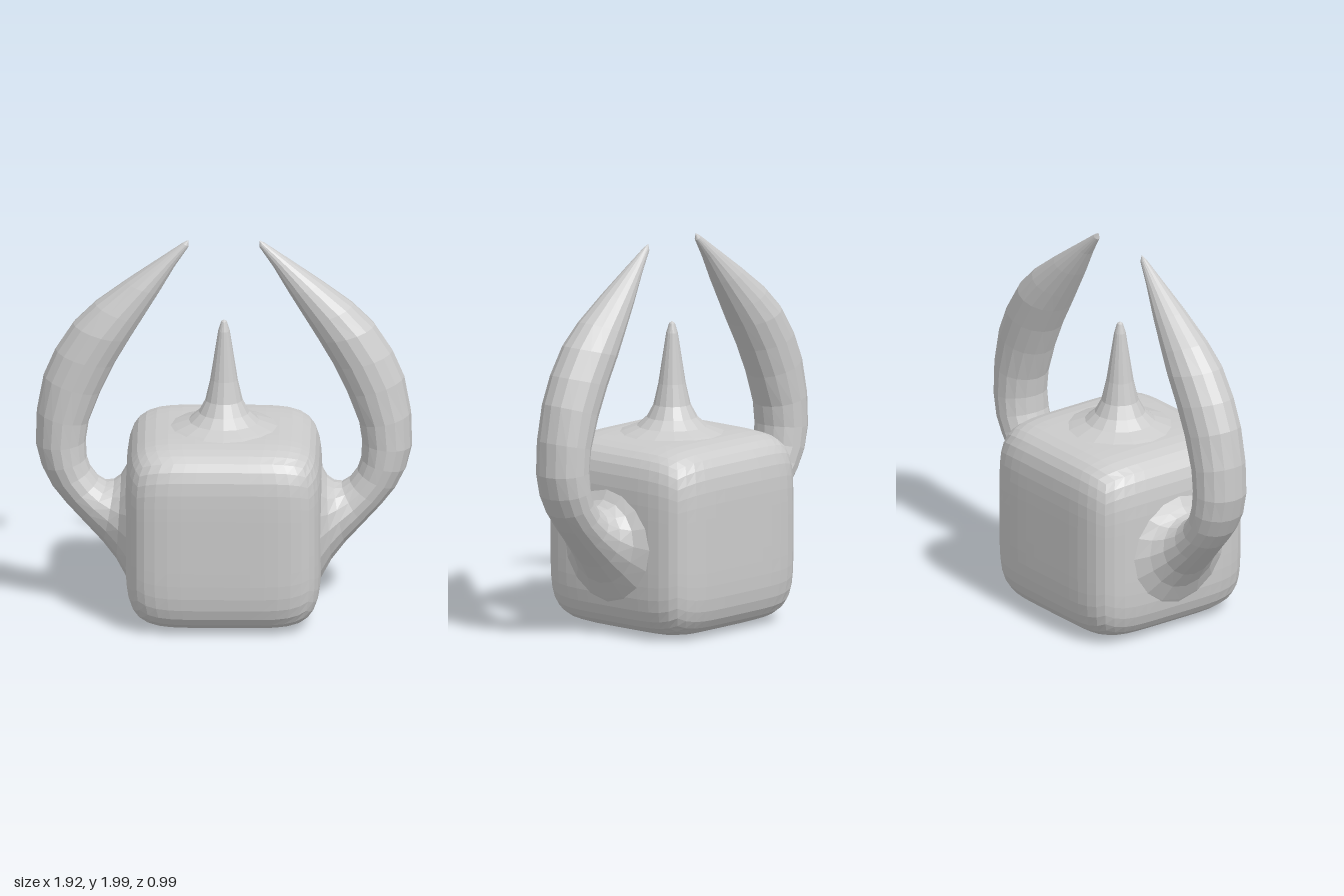
import * as THREE from 'three';

const material = new THREE.MeshStandardMaterial({ color: 0xcccccc, flatShading: true });

function part(name, geometry) {
  const mesh = new THREE.Mesh(geometry, material);
  mesh.name = name;
  return mesh;
}

// Pillowy cube: grid points of a box pulled onto a superellipsoid
function bodyGeometry() {
  const geo = new THREE.BoxGeometry(2, 2, 2, 14, 14, 14);
  const pos = geo.attributes.position;
  const power = 5.5;
  const p = new THREE.Vector3();
  for (let i = 0; i < pos.count; i++) {
    p.fromBufferAttribute(pos, i);
    const sum = p.toArray().reduce((s, v) => s + Math.abs(v) ** power, 0);
    p.multiplyScalar(sum ** (-1 / power));
    pos.setXYZ(i, p.x * 0.5, 0.505 + p.y * 0.495, p.z * 0.495);
  }
  geo.computeVertexNormals();
  return geo;
}

// Horn cross-sections: inner x, y, outer x, y, half depth in z
const hornRings = [
  [0.44, 0.88, 0.44, 0.10, 0.36],
  [0.49, 0.78, 0.50, 0.20, 0.29],
  [0.525, 0.72, 0.55, 0.29, 0.22],
  [0.56, 0.695, 0.62, 0.38, 0.175],
  [0.60, 0.69, 0.72, 0.49, 0.15],
  [0.64, 0.715, 0.81, 0.59, 0.14],
  [0.68, 0.77, 0.88, 0.68, 0.14],
  [0.70, 0.83, 0.93, 0.78, 0.145],
  [0.705, 0.92, 0.96, 0.90, 0.145],
  [0.69, 1.02, 0.955, 1.08, 0.145],
  [0.63, 1.18, 0.92, 1.27, 0.145],
  [0.56, 1.33, 0.86, 1.41, 0.145],
  [0.48, 1.47, 0.77, 1.55, 0.14],
  [0.42, 1.57, 0.66, 1.66, 0.12],
  [0.33, 1.72, 0.50, 1.78, 0.085],
  [0.25, 1.86, 0.33, 1.90, 0.045],
  [0.18, 1.965, 0.21, 1.985, 0.015],
  [0.18, 2.0, 0.18, 2.0, 0],
];

// Elliptical rings joined into a curved, tapering horn with a flared root
function hornGeometry(sides = 16) {
  const positions = [];
  const index = [];
  hornRings.forEach(([ix, iy, ox, oy, depth], r) => {
    for (let j = 0; j < sides; j++) {
      const angle = (j / sides) * Math.PI * 2;
      const t = (1 - Math.cos(angle)) / 2;
      positions.push(ix + (ox - ix) * t, iy + (oy - iy) * t, depth * Math.sin(angle));
      if (r === hornRings.length - 1) continue;
      const a = r * sides + j;
      const b = r * sides + ((j + 1) % sides);
      index.push(a, b, a + sides, b, b + sides, a + sides);
    }
  });
  const geo = new THREE.BufferGeometry();
  geo.setAttribute('position', new THREE.Float32BufferAttribute(positions, 3));
  geo.setIndex(index);
  geo.computeVertexNormals();
  return geo;
}

// Central spike with a wide concave skirt
function spikeGeometry() {
  const profile = [
    [0.34, 0.97], [0.25, 1.005], [0.18, 1.03], [0.13, 1.075], [0.095, 1.14],
    [0.07, 1.25], [0.05, 1.38], [0.03, 1.51], [0.015, 1.56], [0, 1.57],
  ];
  return new THREE.LatheGeometry(profile.map(([x, y]) => new THREE.Vector2(x, y)), 16);
}

export function createModel() {
  const model = new THREE.Group();
  model.name = 'hornedCube';
  model.add(part('body', bodyGeometry()), part('topSpike', spikeGeometry()));

  const horn = hornGeometry();
  const leftHorn = part('leftHorn', horn);
  const rightHorn = part('rightHorn', horn);
  rightHorn.rotation.y = Math.PI;
  model.add(leftHorn, rightHorn);
  return model;
}
